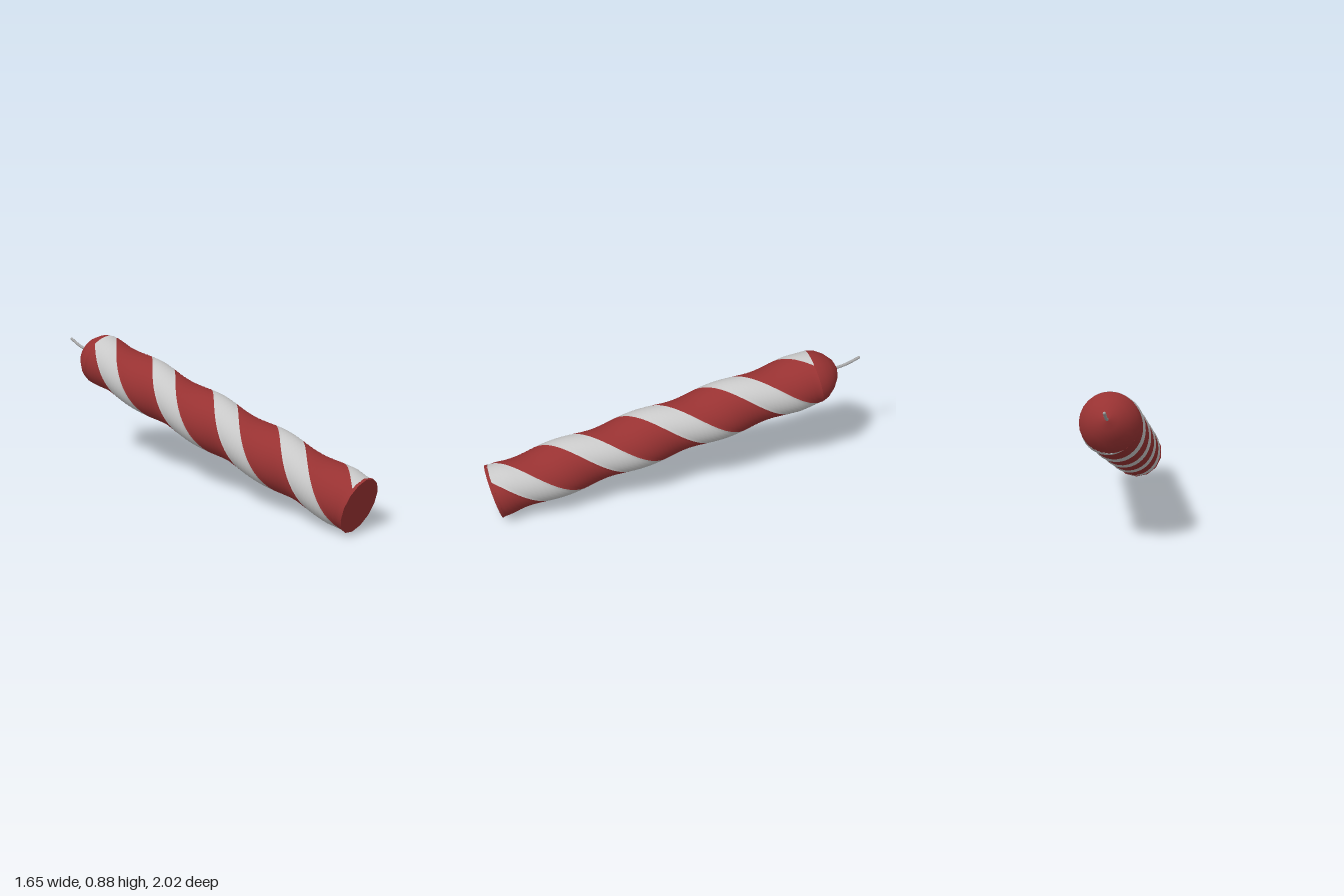
import * as THREE from 'three';

const red = new THREE.MeshStandardMaterial({ color: 0x983232 });
red.name = 'deep red';
const white = new THREE.MeshStandardMaterial({ color: 0xc8c8c8, side: THREE.DoubleSide });
white.name = 'pale grey';
const grey = new THREE.MeshStandardMaterial({ color: 0xa6a6a6 });
grey.name = 'wick grey';

const BODY = 2.17;      // straight length of the candle
const PITCH = 1.08;     // length of one full twist
const PHASE = 0.56;     // height where a pale band faces local +z
const HALF = 0.6;       // half the angle of a pale band

// Twisted two-lobed section: ridges along the pale bands, fading at both ends
function point(angle, s) {
  const fade = Math.min(1, s / 0.12, (BODY - s) / 0.15);
  const r = 0.174 + 0.011 * fade * Math.cos(2 * angle);
  const a = angle + (s - PHASE) / PITCH * Math.PI * 2;
  return [r * Math.sin(a), s, r * Math.cos(a)];
}

// One helical band between two angles
function band(from, to, cols) {
  const rows = 72, pos = [], index = [];
  for (let j = 0; j <= rows; j++) {
    for (let i = 0; i <= cols; i++) {
      pos.push(...point(from + (to - from) * i / cols, BODY * j / rows));
    }
  }
  const w = cols + 1;
  for (let j = 0; j < rows; j++) {
    for (let i = 0; i < cols; i++) {
      const a = j * w + i;
      index.push(a, a + 1, a + w + 1, a, a + w + 1, a + w);
    }
  }
  const geo = new THREE.BufferGeometry();
  geo.setAttribute('position', new THREE.Float32BufferAttribute(pos, 3));
  geo.setIndex(index);
  geo.computeVertexNormals();
  return geo;
}

export function createModel() {
  const model = new THREE.Group();
  model.name = 'twistedCandle';
  const add = (name, geo, mat) => {
    const mesh = new THREE.Mesh(geo, mat);
    mesh.name = name;
    model.add(mesh);
    return mesh;
  };

  // Two pale and two red bands wound around the body
  for (let k = 0; k < 2; k++) {
    const mid = k * Math.PI;
    add('paleBand', band(mid - HALF, mid + HALF, 8), white);
    add('redBand', band(mid + HALF, mid + Math.PI - HALF, 12), red);
  }

  // Flat base with a thin rim
  add('base', new THREE.CylinderGeometry(0.178, 0.181, 0.02, 14), red).position.y = 0.004;

  // Rounded top
  const profile = [[0.174, BODY], [0.16, 2.215], [0.118, 2.27], [0.062, 2.312], [0, 2.33]];
  add('top', new THREE.LatheGeometry(profile.map(p => new THREE.Vector2(...p)), 24), red);

  // Slightly bent wick
  const path = new THREE.CatmullRomCurve3([
    new THREE.Vector3(0, 2.31, 0),
    new THREE.Vector3(0, 2.4, 0.002),
    new THREE.Vector3(0, 2.485, 0.018),
  ]);
  add('wick', new THREE.TubeGeometry(path, 10, 0.009, 8), grey);
  const tip = add('wickTip', new THREE.SphereGeometry(0.009, 8, 6), grey);
  tip.position.set(0, 2.485, 0.018);

  // Lean the candle: local y runs along the axis, local z stays uppermost
  const axis = new THREE.Vector3(-0.602, 0.245, -0.76).normalize();
  const side = new THREE.Vector3().crossVectors(axis, new THREE.Vector3(0, 1, 0)).normalize();
  const up = new THREE.Vector3().crossVectors(side, axis);
  model.quaternion.setFromRotationMatrix(new THREE.Matrix4().makeBasis(side, axis, up));
  model.position.set(0.683, 0.18, 0.885);

  const root = new THREE.Group();
  root.name = 'candle';
  root.add(model);
  return root;
}
